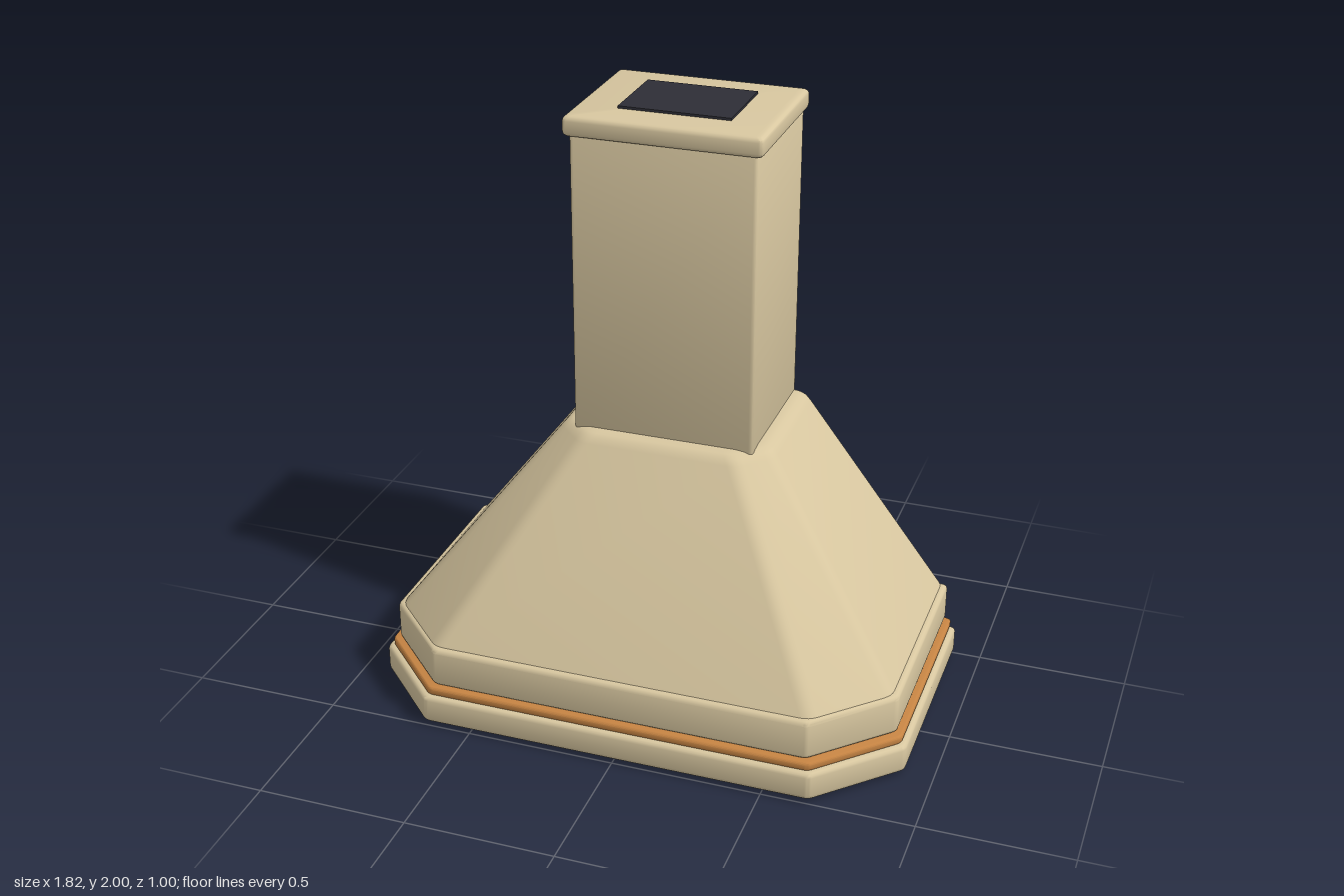
import * as THREE from 'three';
import { toCreasedNormals } from 'three/addons/utils/BufferGeometryUtils.js';

const BACK = -0.5;

// Plan outline with cut front corners (cut = 0 gives a plain rectangle), each corner rounded
function outline({ w, front, back = BACK, cut = 0, r = 0.015 }) {
  const half = cut > 0 ? [[w, back], [w, front - cut], [w - cut, front]] : [[w, back], [w, front]];
  const pts = [...half, ...half.map(([x, z]) => [-x, z]).reverse()].map(p => new THREE.Vector2(...p));
  const ring = [];
  pts.forEach((p, i) => {
    const prev = pts[(i + pts.length - 1) % pts.length];
    const next = pts[(i + 1) % pts.length];
    const a = p.clone().add(prev.clone().sub(p).setLength(r));
    const b = p.clone().add(next.clone().sub(p).setLength(r));
    ring.push(...new THREE.QuadraticBezierCurve(a, p, b).getPoints(4));
  });
  return ring;
}

// Closed solid through a stack of outlines, each with its own height y
function loft(levels) {
  const pos = [], index = [];
  const rings = levels.map(outline);
  const n = rings[0].length;
  rings.forEach((ring, k) => ring.forEach(p => pos.push(p.x, levels[k].y, p.y)));
  for (let k = 0; k < rings.length - 1; k++) {
    for (let j = 0; j < n; j++) {
      const a = k * n + j, b = k * n + (j + 1) % n;
      index.push(a, a + n, b, a + n, b + n, b);
    }
  }
  const last = (rings.length - 1) * n;
  for (let j = 1; j < n - 1; j++) {
    index.push(0, j, j + 1);
    index.push(last, last + j + 1, last + j);
  }
  const geo = new THREE.BufferGeometry();
  geo.setAttribute('position', new THREE.Float32BufferAttribute(pos, 3));
  geo.setIndex(index);
  return toCreasedNormals(geo, 0.6);
}

// Slab with softly rounded top and bottom edges
function slab(y0, y1, w, front, cut, e) {
  const steps = [0, 1, 2, 3].map(i => i * Math.PI / 6);
  const level = (y, inset) => ({
    y, w: w - inset, front: front - inset, back: BACK + inset,
    cut: cut ? cut - 0.59 * inset : 0,
  });
  return loft([
    ...steps.map(t => level(y0 + e * (1 - Math.sin(t)), e * (1 - Math.cos(t)))).reverse(),
    ...steps.map(t => level(y1 - e * (1 - Math.sin(t)), e * (1 - Math.cos(t)))),
  ]);
}

export function createModel() {
  const group = new THREE.Group();
  const material = (name, color) => {
    const m = new THREE.MeshStandardMaterial({ color });
    m.name = name;
    return m;
  };
  const cream = material('cream enamel', 0xd8c7a0);
  const copper = material('copper', 0xc68443);
  const dark = material('dark opening', 0x2e2e36);
  const add = (name, geo, mat, x = 0, y = 0, z = 0) => {
    const mesh = new THREE.Mesh(geo, mat);
    mesh.name = name;
    mesh.position.set(x, y, z);
    group.add(mesh);
  };

  // Stepped skirt with a copper band
  add('baseRim', slab(0.013, 0.112, 0.908, 0.503, 0.25, 0.016), cream);
  add('copperBand', slab(0.11, 0.14, 0.89, 0.485, 0.242, 0.008), copper);
  add('upperRim', slab(0.138, 0.277, 0.87, 0.465, 0.235, 0.016), cream);

  // Tapered canopy with a rounded shoulder
  add('canopy', loft([
    { y: 0.27, w: 0.852, front: 0.447, back: -0.497, cut: 0.215, r: 0.03 },
    { y: 0.285, w: 0.845, front: 0.44, back: -0.497, cut: 0.213, r: 0.03 },
    { y: 0.905, w: 0.367, front: 0.06, back: -0.499, cut: 0.1, r: 0.03 },
    { y: 0.923, w: 0.352, front: 0.048, back: -0.497, cut: 0.097, r: 0.03 },
    { y: 0.933, w: 0.335, front: 0.032, back: -0.491, cut: 0.09, r: 0.03 },
    { y: 0.937, w: 0.315, front: 0.012, back: -0.482, cut: 0.08, r: 0.03 },
  ]), cream);

  // Chimney, its cap and the duct opening
  add('chimney', slab(0.92, 1.94, 0.304, 0, 0, 0.008), cream);
  add('chimneyCap', slab(1.926, 1.992, 0.321, 0.018, 0, 0.016), cream);
  add('ductOpening', new THREE.BoxGeometry(0.366, 0.009, 0.278), dark, 0, 1.9955, -0.248);

  // Lamps underneath
  for (const x of [-0.405, 0.405]) {
    add('lamp', new THREE.CylinderGeometry(0.055, 0.055, 0.02, 32), cream, x, 0.01, 0);
  }
  return group;
}
